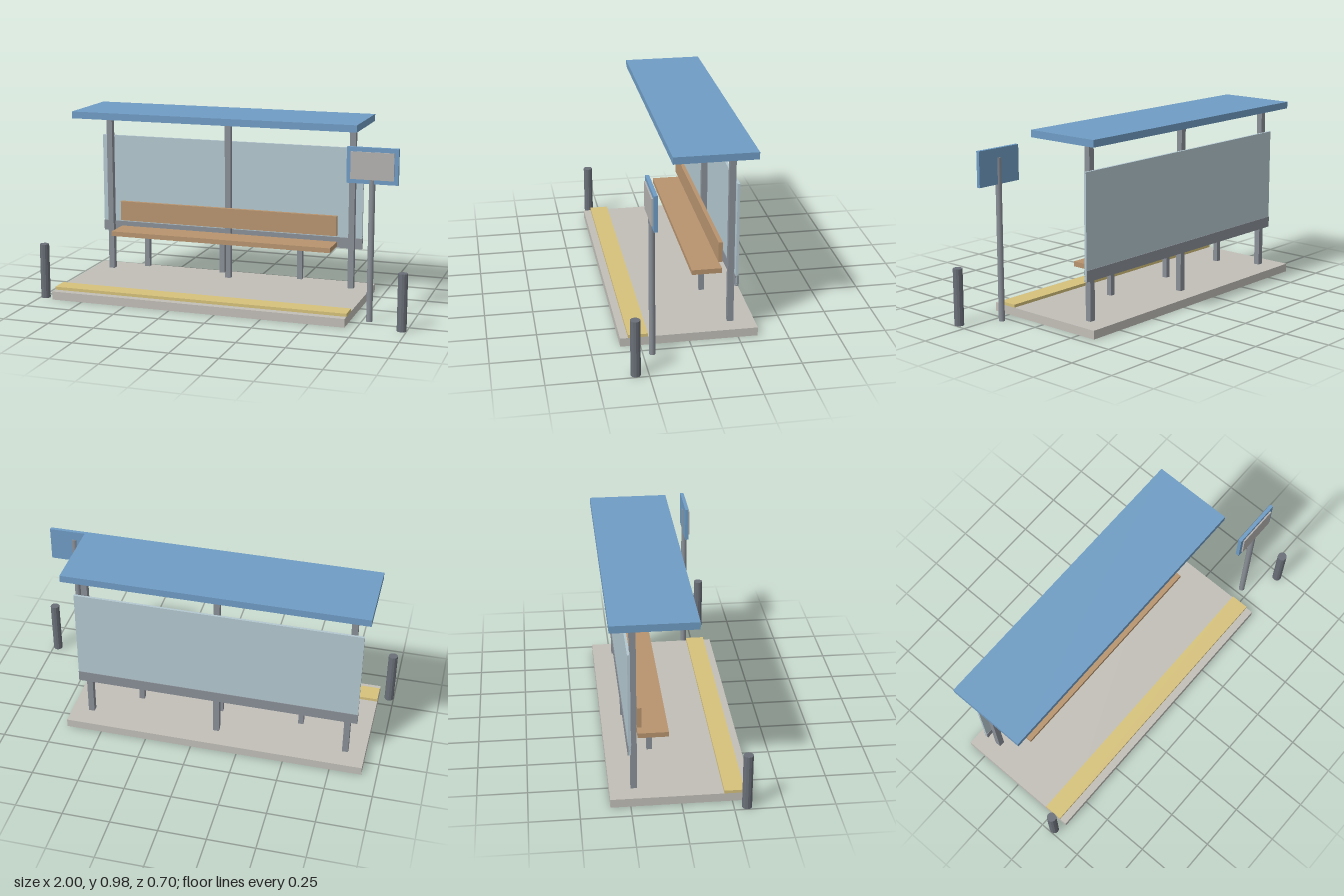
import * as THREE from 'three';

const mat = (color, flatShading = false) => new THREE.MeshStandardMaterial({ color, flatShading });

export function createModel() {
  const shelter = new THREE.Group();
  shelter.name = 'busShelter';

  const concrete = mat(0xc2bfb8);
  const yellow = mat(0xd6c27c);
  const blue = mat(0x6f9cc4);
  const steel = mat(0x8a9098);
  const darkSteel = mat(0x6a6f78, true);
  const glass = mat(0xb4c8d0);
  const wood = mat(0xb8946f);
  const paleGrey = mat(0xb4b2b0);

  // Box given by its extents on each axis
  function box(name, material, [x0, x1], [y0, y1], [z0, z1]) {
    const mesh = new THREE.Mesh(new THREE.BoxGeometry(x1 - x0, y1 - y0, z1 - z0), material);
    mesh.position.set((x0 + x1) / 2, (y0 + y1) / 2, (z0 + z1) / 2);
    mesh.name = name;
    shelter.add(mesh);
  }

  // Upright cylinder standing on the ground
  function pole(name, material, x, z, radius, height, sides) {
    const mesh = new THREE.Mesh(new THREE.CylinderGeometry(radius, radius, height, sides), material);
    mesh.position.set(x, height / 2, z);
    mesh.name = name;
    shelter.add(mesh);
  }

  // Platform and kerb strip
  const deckX = [-0.92, 0.692];
  box('platform', concrete, deckX, [0, 0.045], [-0.35, 0.35]);
  box('kerbStrip', yellow, deckX, [0.045, 0.061], [0.21, 0.31]);

  // Roof
  box('roof', blue, [-0.903, 0.675], [0.947, 0.984], [-0.34, 0.083]);

  // Rear posts
  for (const x of [-0.814, -0.114, 0.586]) {
    box('roofPost', steel, [x - 0.016, x + 0.016], [0.045, 0.94], [-0.243, -0.211]);
  }

  // Back panel with its kick plate
  const panelX = [-0.867, 0.64];
  box('backPanel', glass, panelX, [0.262, 0.811], [-0.255, -0.242]);
  box('kickPlate', steel, panelX, [0.26, 0.318], [-0.258, -0.239]);

  // Bench
  const benchX = [-0.739, 0.512];
  box('benchSeat', wood, benchX, [0.276, 0.302], [-0.199, -0.044]);
  box('benchBackrest', wood, benchX, [0.337, 0.446], [-0.201, -0.18]);
  for (const x of [-0.555, -0.114, 0.327]) {
    box('benchLeg', steel, [x - 0.014, x + 0.014], [0.1, 0.276], [-0.141, -0.114]);
  }

  // Stop sign on its pole
  pole('signPole', steel, 0.786, 0.204, 0.016, 0.848, 12);
  box('signBoard', blue, [0.656, 0.919], [0.713, 0.896], [0.195, 0.214]);
  box('signFace', paleGrey, [0.677, 0.898], [0.735, 0.874], [0.213, 0.222]);

  // Bollards at the two front corners
  for (const side of [-1, 1]) {
    pole('bollard', darkSteel, side * 0.975, 0.314, 0.025, 0.296, 12);
  }

  return shelter;
}
